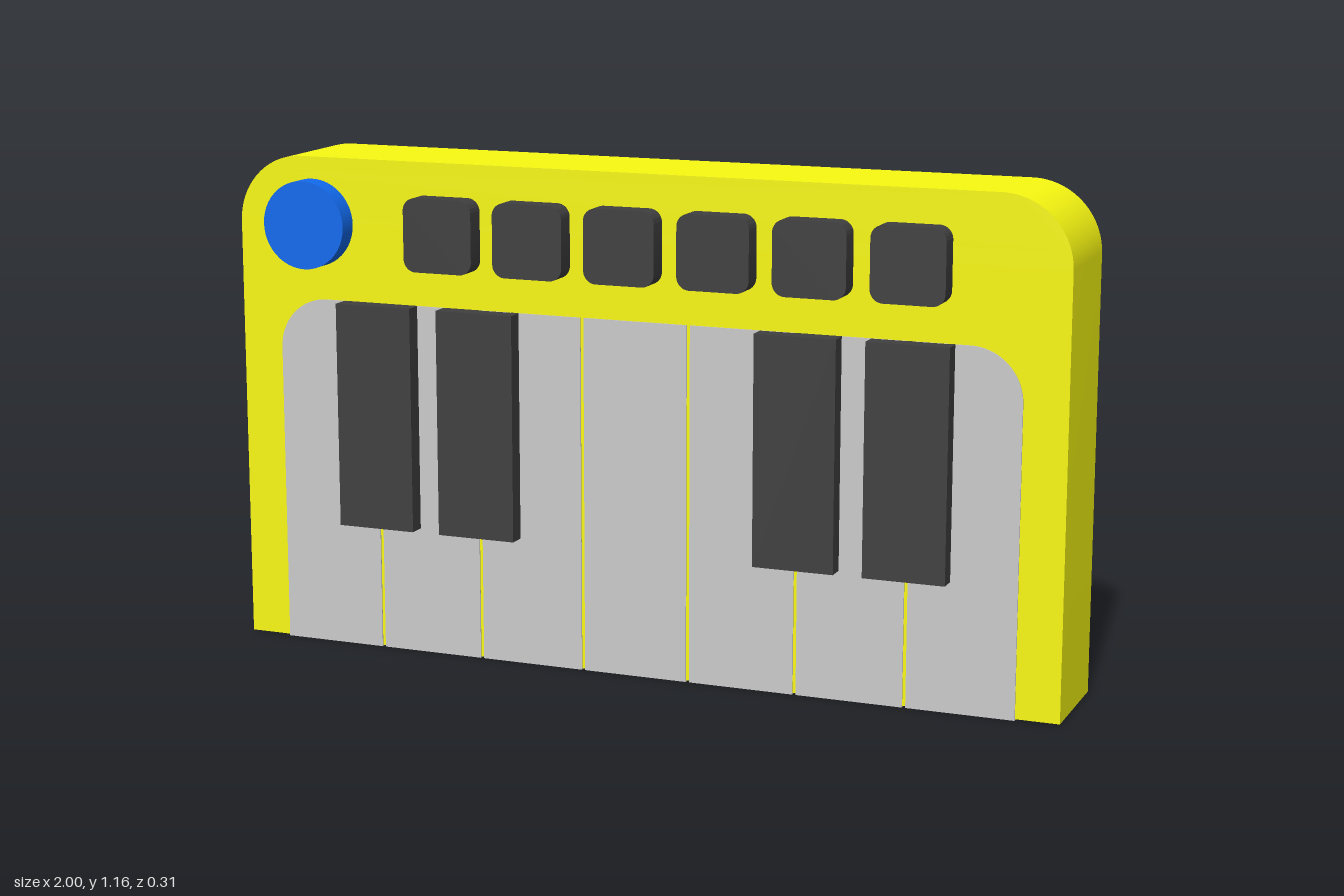
import * as THREE from 'three';
import { toCreasedNormals } from 'three/addons/utils/BufferGeometryUtils.js';

const material = (color) => new THREE.MeshStandardMaterial({ color });

// Rectangle outline with separate corner radii: bottom left, bottom right, top right, top left
function outline(x0, x1, y0, y1, [bl, br, tr, tl]) {
  const s = new THREE.Shape();
  s.moveTo(x0 + bl, y0);
  s.lineTo(x1 - br, y0);
  if (br) s.absarc(x1 - br, y0 + br, br, -Math.PI / 2, 0);
  s.lineTo(x1, y1 - tr);
  if (tr) s.absarc(x1 - tr, y1 - tr, tr, 0, Math.PI / 2);
  s.lineTo(x0 + tl, y1);
  if (tl) s.absarc(x0 + tl, y1 - tl, tl, Math.PI / 2, Math.PI);
  s.lineTo(x0, y0 + bl);
  if (bl) s.absarc(x0 + bl, y0 + bl, bl, Math.PI, Math.PI * 1.5);
  return s;
}

// Extrude an outline from z0 to z1, smooth around the rounded corners only
function slab(name, shape, z0, z1, mat) {
  const geo = new THREE.ExtrudeGeometry(shape, { depth: z1 - z0, bevelEnabled: false, curveSegments: 12 });
  geo.translate(0, 0, z0);
  const mesh = new THREE.Mesh(toCreasedNormals(geo, 0.6), mat);
  mesh.name = name;
  return mesh;
}

export function createModel() {
  const model = new THREE.Group();
  model.name = 'toyKeyboard';
  const yellow = material(0xfafa12);
  const grey = material(0xcccccc);
  const dark = material(0x404040);
  const blue = material(0x126bef);
  const face = 0.104;

  // Body: upright slab with two rounded top corners
  model.add(slab('body', outline(-1, 1, 0.003, 1.165, [0, 0, 0.16, 0.16]), -0.154, face, yellow));

  // Seven white keys sunk into the body, the outer two rounded at the top
  const whiteKeys = new THREE.Group();
  whiteKeys.name = 'whiteKeys';
  const pitch = 0.258, gap = 0.008;
  for (let i = 0; i < 7; i++) {
    const x = (i - 3) * pitch;
    const half = (pitch - gap) / 2;
    const radii = [0, 0, i === 6 ? 0.12 : 0, i === 0 ? 0.12 : 0];
    whiteKeys.add(slab('whiteKey', outline(x - half, x + half, 0, 0.83, radii), -0.08, face + 0.003, grey));
  }
  model.add(whiteKeys);

  // Four raised black keys
  const blackKeys = new THREE.Group();
  blackKeys.name = 'blackKeys';
  for (const x of [-0.638, -0.381, 0.394, 0.651]) {
    const key = new THREE.Mesh(new THREE.BoxGeometry(0.19, 0.53, 0.048), dark);
    key.name = 'blackKey';
    key.position.set(x, 0.565, 0.124);
    blackKeys.add(key);
  }
  model.add(blackKeys);

  // Row of six rounded buttons
  const buttons = new THREE.Group();
  buttons.name = 'buttons';
  for (let i = 0; i < 6; i++) {
    const x = -0.467 + i * 0.2235;
    buttons.add(slab('button', outline(x - 0.085, x + 0.085, 0.917, 1.088, [0.03, 0.03, 0.03, 0.03]), 0.1, 0.154, dark));
  }
  model.add(buttons);

  // Round knob
  const knob = new THREE.Mesh(new THREE.CylinderGeometry(0.103, 0.103, 0.054, 48), blue);
  knob.name = 'knob';
  knob.rotation.x = Math.PI / 2;
  knob.position.set(-0.81, 1.01, 0.127);
  model.add(knob);

  return model;
}
